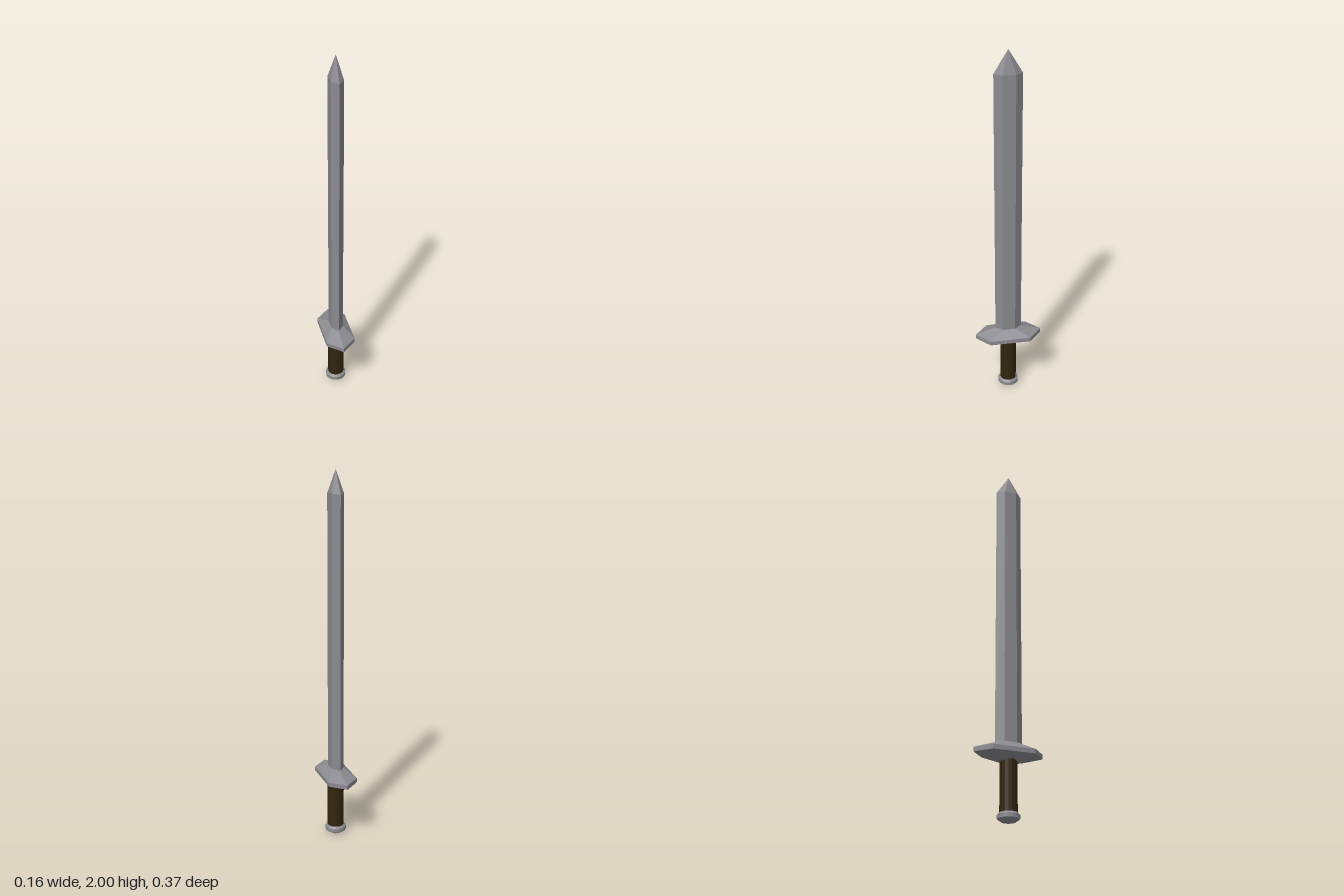
import * as THREE from 'three';

// Hexagon in the xz plane: points on the z axis, flat sides facing +x and -x
const hexagon = (halfX, flatZ, pointZ) => [
  [0, pointZ], [halfX, flatZ], [halfX, -flatZ],
  [0, -pointZ], [-halfX, -flatZ], [-halfX, flatZ],
];

// Faceted skin through a stack of hexagons, listed bottom to top as [y, halfX, flatZ, pointZ]
function loftHexagons(sections) {
  const position = [];
  const rings = sections.map(([y, ...size]) => hexagon(...size).map(([x, z]) => [x, y, z]));
  const tri = (a, b, c) => position.push(...a, ...b, ...c);
  for (let r = 0; r < rings.length - 1; r++) {
    for (let i = 0; i < 6; i++) {
      const j = (i + 1) % 6;
      const [a, b, c, d] = [rings[r][i], rings[r][j], rings[r + 1][j], rings[r + 1][i]];
      tri(a, b, c);
      if (sections[r + 1][1] > 0) tri(a, c, d);
    }
  }
  // Bottom and top caps
  const last = rings[rings.length - 1];
  for (let i = 1; i < 5; i++) {
    tri(rings[0][0], rings[0][i + 1], rings[0][i]);
    if (sections[sections.length - 1][1] > 0) tri(last[0], last[i], last[i + 1]);
  }
  const geometry = new THREE.BufferGeometry();
  geometry.setAttribute('position', new THREE.Float32BufferAttribute(position, 3));
  geometry.computeVertexNormals();
  return geometry;
}

export function createModel() {
  const model = new THREE.Group();
  model.name = 'sword';

  const steel = new THREE.MeshStandardMaterial({ color: 0x8a8a90, flatShading: true });
  steel.name = 'steel';
  const leather = new THREE.MeshStandardMaterial({ color: 0x33240f, flatShading: true });
  leather.name = 'dark leather';

  const add = (name, geometry, material) => {
    const mesh = new THREE.Mesh(geometry, material);
    mesh.name = name;
    model.add(mesh);
    return mesh;
  };

  // Blade: straight hexagonal bar ending in a point
  add('blade', loftHexagons([
    [0.38, 0.033, 0.034, 0.073],
    [1.88, 0.033, 0.034, 0.073],
    [2.0, 0, 0, 0],
  ]), steel);

  // Crossguard: wide hexagonal band sloping in to the blade and to the grip
  add('crossguard', loftHexagons([
    [0.3, 0.033, 0.034, 0.073],
    [0.333, 0.081, 0.113, 0.186],
    [0.357, 0.081, 0.113, 0.186],
    [0.395, 0.033, 0.034, 0.073],
  ]), steel);

  // Grip
  const grip = add('grip', new THREE.CylinderGeometry(0.045, 0.045, 0.285, 16), leather);
  grip.position.y = 0.1725;

  // Pommel: bevelled disc
  const profile = [[0, 0], [0.035, 0], [0.057, 0.015], [0.057, 0.035], [0.046, 0.046], [0, 0.046]];
  add('pommel', new THREE.LatheGeometry(profile.map(([r, y]) => new THREE.Vector2(r, y)), 16), steel);

  return model;
}
